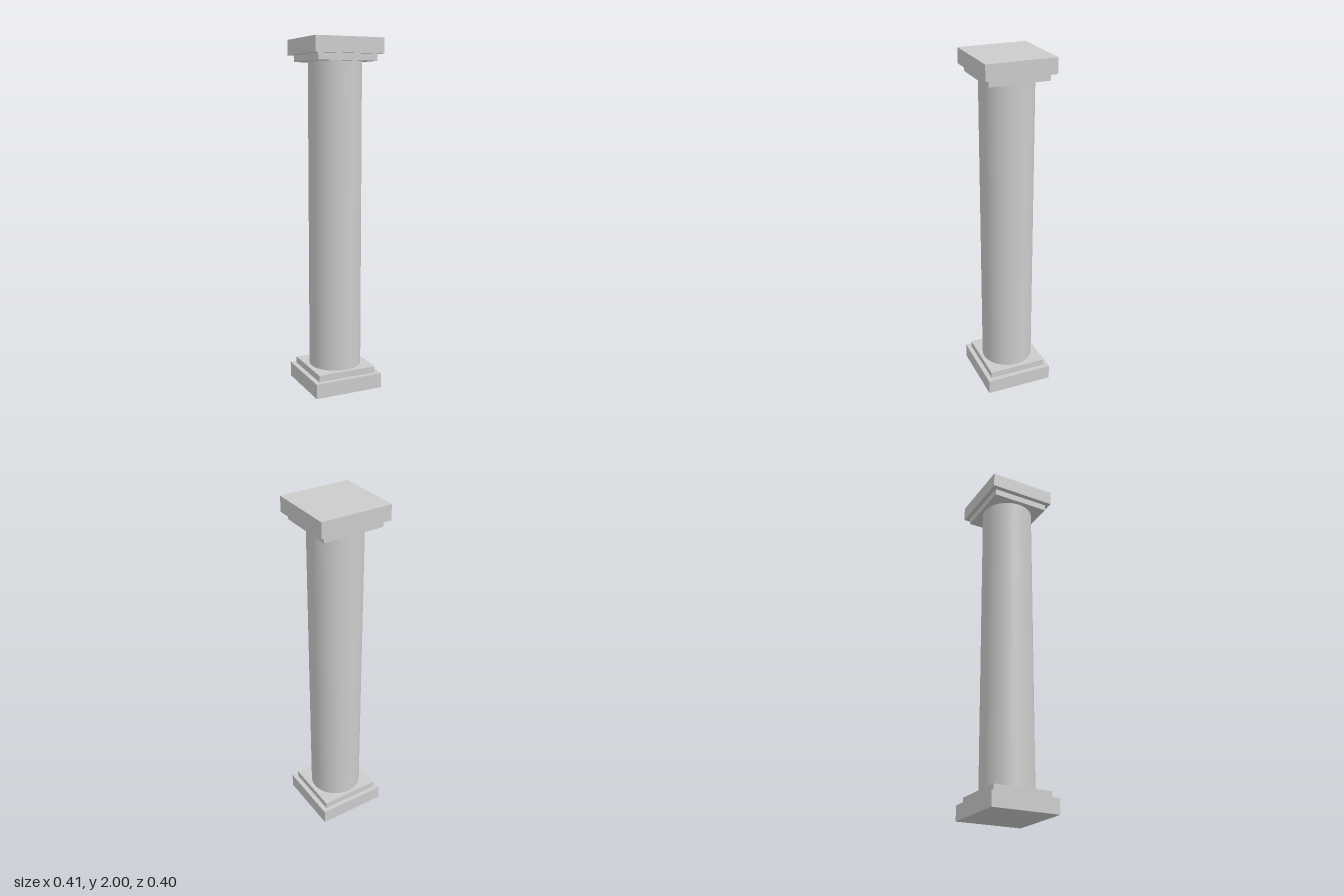
import * as THREE from 'three';

export function createModel() {
  const group = new THREE.Group();
  const material = new THREE.MeshStandardMaterial({ color: 0xcccccc });

  const add = (name, geometry, y) => {
    const mesh = new THREE.Mesh(geometry, material);
    mesh.name = name;
    mesh.position.y = y;
    group.add(mesh);
  };

  const slabHeight = 0.086;
  const stepHeight = 0.038;
  const shaftHeight = 2 - 2 * (slabHeight + stepHeight);

  // Round shaft
  add('shaft', new THREE.CylinderGeometry(0.151, 0.151, shaftHeight, 48), 1);

  // Stepped square base, mirrored as the capital
  for (const [part, side] of [['base', -1], ['capital', 1]]) {
    add(part + 'Slab', new THREE.BoxGeometry(0.41, slabHeight, 0.396), 1 + side * (1 - slabHeight / 2));
    add(part + 'Step', new THREE.BoxGeometry(0.354, stepHeight, 0.344), 1 + side * (1 - slabHeight - stepHeight / 2));
  }

  return group;
}
